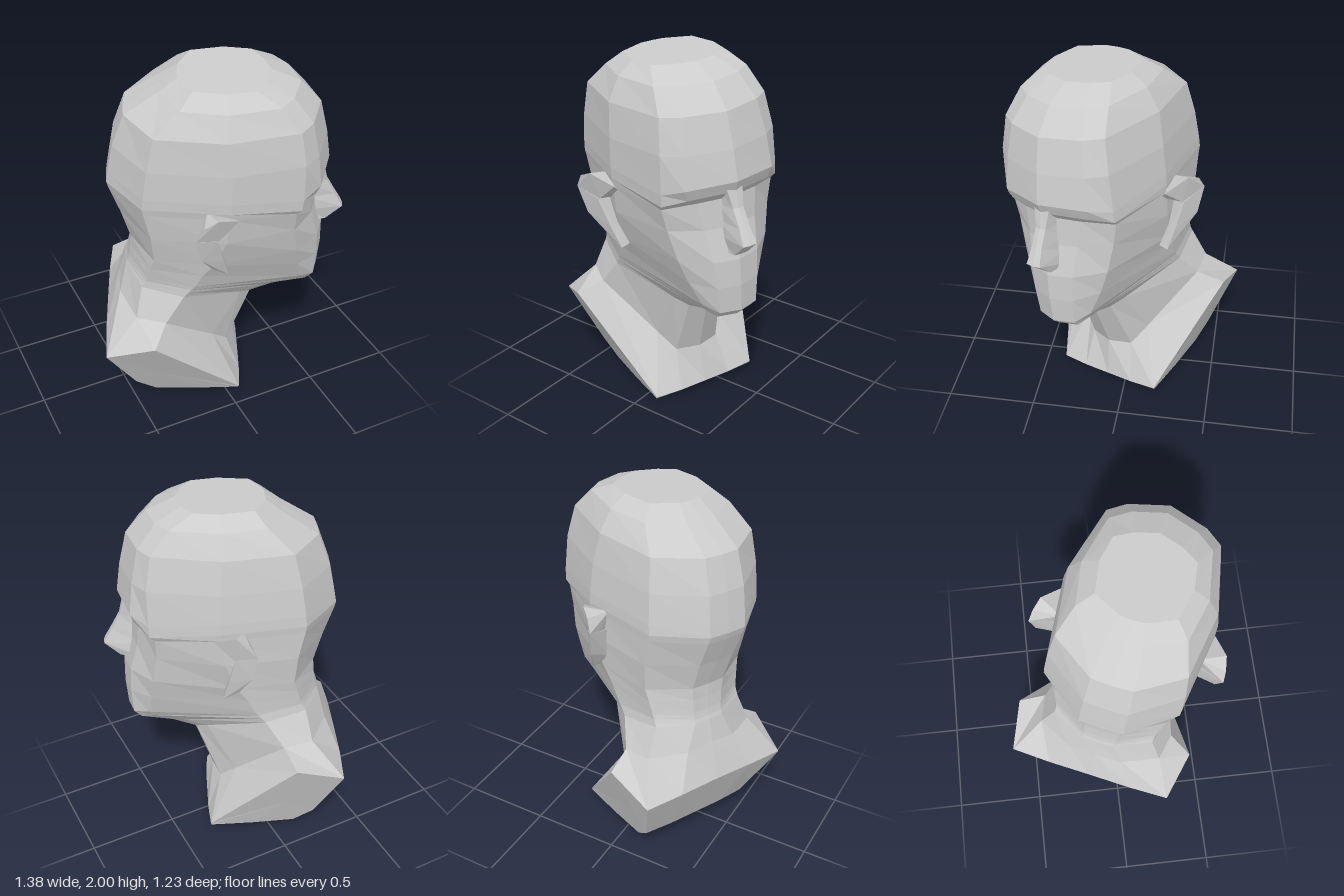
import * as THREE from 'three';
import { ConvexGeometry } from 'three/addons/geometries/ConvexGeometry.js';

const material = new THREE.MeshStandardMaterial({ color: 0xcccccc, flatShading: true });

function addPart(parent, name, geometry) {
  const mesh = new THREE.Mesh(geometry, material);
  mesh.name = name;
  parent.add(mesh);
}

// Skin mirrored half sections (centre front -> left side -> centre back), listed top to bottom
function loft(halfRings) {
  const rings = halfRings.map((half) => [
    ...half,
    ...half.slice(1, -1).reverse().map(([x, y, z]) => [-x, y, z]),
  ]);
  const n = rings[0].length;
  const positions = rings.flat(2);
  const index = [];
  for (let i = 0; i < rings.length - 1; i++) {
    for (let j = 0; j < n; j++) {
      const k = (j + 1) % n;
      const a = i * n + j, b = i * n + k, c = a + n, d = b + n;
      index.push(a, c, d, a, d, b);
    }
  }
  // Close both ends with a fan
  [0, rings.length - 1].forEach((r, end) => {
    const centre = positions.length / 3;
    for (let axis = 0; axis < 3; axis++) {
      positions.push(rings[r].reduce((sum, p) => sum + p[axis], 0) / n);
    }
    for (let j = 0; j < n; j++) {
      const a = r * n + j, b = r * n + ((j + 1) % n);
      index.push(centre, ...(end ? [b, a] : [a, b]));
    }
  });
  const geometry = new THREE.BufferGeometry();
  geometry.setAttribute('position', new THREE.Float32BufferAttribute(positions, 3));
  geometry.setIndex(index);
  geometry.computeVertexNormals();
  return geometry;
}

// Head section; the brow droops at its corners and low sections rise towards the nape
function headRing([y, front, frontHalf, cornerX, cornerZ, side, sideZ, back]) {
  const lift = Math.max(0, 1.03 - y) * 0.5;
  const droop = 0.05 * Math.exp(-(((y - 1.42) / 0.1) ** 2));
  return [
    [0, y, front],
    [frontHalf, y - droop * 0.3, front - frontHalf * 0.3],
    [cornerX, y + lift * 0.2 - droop, cornerZ],
    [side, y + lift * 0.8, sideZ],
    [side * 0.87, y + lift, sideZ * 0.3 + back * 0.7],
    [side * 0.28, y + lift, back + 0.005],
    [0, y + lift, back],
  ];
}

export function createModel() {
  const bust = new THREE.Group();
  bust.name = 'bust';

  // y, front z, front half width, corner x, corner z, side x, side z, back z
  const levels = [
    [1.985, 0.33, 0.12, 0.21, 0.24, 0.235, 0.10, -0.14],
    [1.92, 0.48, 0.17, 0.265, 0.36, 0.32, 0.10, -0.23],
    [1.80, 0.59, 0.21, 0.30, 0.46, 0.385, 0.10, -0.415],
    [1.62, 0.635, 0.235, 0.325, 0.49, 0.41, 0.12, -0.48],
    [1.46, 0.66, 0.25, 0.335, 0.49, 0.42, 0.12, -0.51],
    [1.40, 0.635, 0.23, 0.335, 0.485, 0.42, 0.12, -0.52],
    [1.36, 0.60, 0.17, 0.325, 0.46, 0.415, 0.12, -0.51],
    [1.20, 0.61, 0.15, 0.30, 0.46, 0.405, 0.10, -0.455],
    [1.03, 0.65, 0.13, 0.265, 0.485, 0.375, 0.04, -0.41],
    [0.88, 0.655, 0.12, 0.22, 0.50, 0.355, -0.02, -0.415],
    [0.73, 0.645, 0.11, 0.165, 0.53, 0.34, -0.06, -0.425],
    [0.685, 0.60, 0.10, 0.145, 0.50, 0.335, -0.08, -0.43],
    [0.645, 0.42, 0.09, 0.145, 0.34, 0.335, -0.10, -0.435],
    [0.60, 0.29, 0.10, 0.16, 0.20, 0.335, -0.12, -0.445],
  ];

  // Base of the neck, shoulder rim, lower edge and underside of the bust
  const neckBase = [[0, 0.25, 0.17], [0.13, 0.25, 0.13], [0.2, 0.35, 0.045],
    [0.39, 0.63, -0.22], [0.36, 0.65, -0.38], [0.16, 0.67, -0.475], [0, 0.69, -0.485]];
  const shoulderRim = [[0, 0.025, 0.21], [0.16, 0.025, 0.21], [0.315, 0.03, 0.2],
    [0.53, 0.565, -0.28], [0.48, 0.465, -0.55], [0.25, 0.475, -0.56], [0, 0.48, -0.56]];
  const lowerEdge = [[0, 0.023, 0.208], [0.16, 0.023, 0.208], [0.315, 0.025, 0.198],
    [0.405, 0.25, -0.25], [0.355, 0.13, -0.4], [0.18, 0.13, -0.41], [0, 0.13, -0.41]];
  const underside = [[0, 0.02, 0.205], [0.16, 0.02, 0.205], [0.315, 0.02, 0.195],
    [0.32, 0.025, -0.05], [0.32, 0.035, -0.29], [0.16, 0.035, -0.3], [0, 0.035, -0.3]];
  addPart(bust, 'headNeckAndShoulders',
    loft([...levels.map(headRing), neckBase, shoulderRim, lowerEdge, underside]));

  // Wedge nose: y, front z, ridge half width, root half width
  const nose = [
    [1.42, 0.635, 0.045, 0.06],
    [1.32, 0.66, 0.03, 0.06],
    [1.23, 0.71, 0.03, 0.06],
    [1.15, 0.755, 0.04, 0.065],
    [1.07, 0.67, 0.04, 0.07],
  ].map(([y, front, ridge, root]) =>
    [[0, y, front], [ridge, y, front - 0.005], [root, y, 0.55], [0, y, 0.5]]);
  addPart(bust, 'nose', loft(nose));

  // Faceted ears: a flared upper shell and a narrow rear rim running down to the lobe
  const upperShell = [[0.51, 1.43, 0.05], [0.43, 1.37, 0.16], [0.53, 1.4, -0.02],
    [0.54, 1.33, -0.06], [0.51, 1.25, -0.04], [0.47, 1.28, 0.06],
    [0.38, 1.39, 0], [0.38, 1.25, 0.02], [0.39, 1.33, 0.14]];
  const rearRim = [[0.54, 1.33, -0.06], [0.51, 1.18, -0.03], [0.44, 1.06, 0.03],
    [0.4, 0.99, 0.115], [0.48, 1.28, 0.05], [0.44, 1.12, 0.085],
    [0.35, 1.0, 0.11], [0.35, 1.1, 0.02], [0.38, 1.28, 0]];
  for (const s of [1, -1]) {
    const ear = new THREE.Group();
    ear.name = s > 0 ? 'leftEar' : 'rightEar';
    const hull = (points) =>
      new ConvexGeometry(points.map(([x, y, z]) => new THREE.Vector3(s * x, y, z)));
    addPart(ear, 'earShell', hull(upperShell));
    addPart(ear, 'earRim', hull(rearRim));
    bust.add(ear);
  }

  // The bust is turned to its left and leans slightly
  bust.rotation.set(0, 1.159, 0.07, 'YXZ');
  bust.position.set(0.02, 0, 0.02);

  const model = new THREE.Group();
  model.name = 'headBust';
  model.add(bust);
  return model;
}
